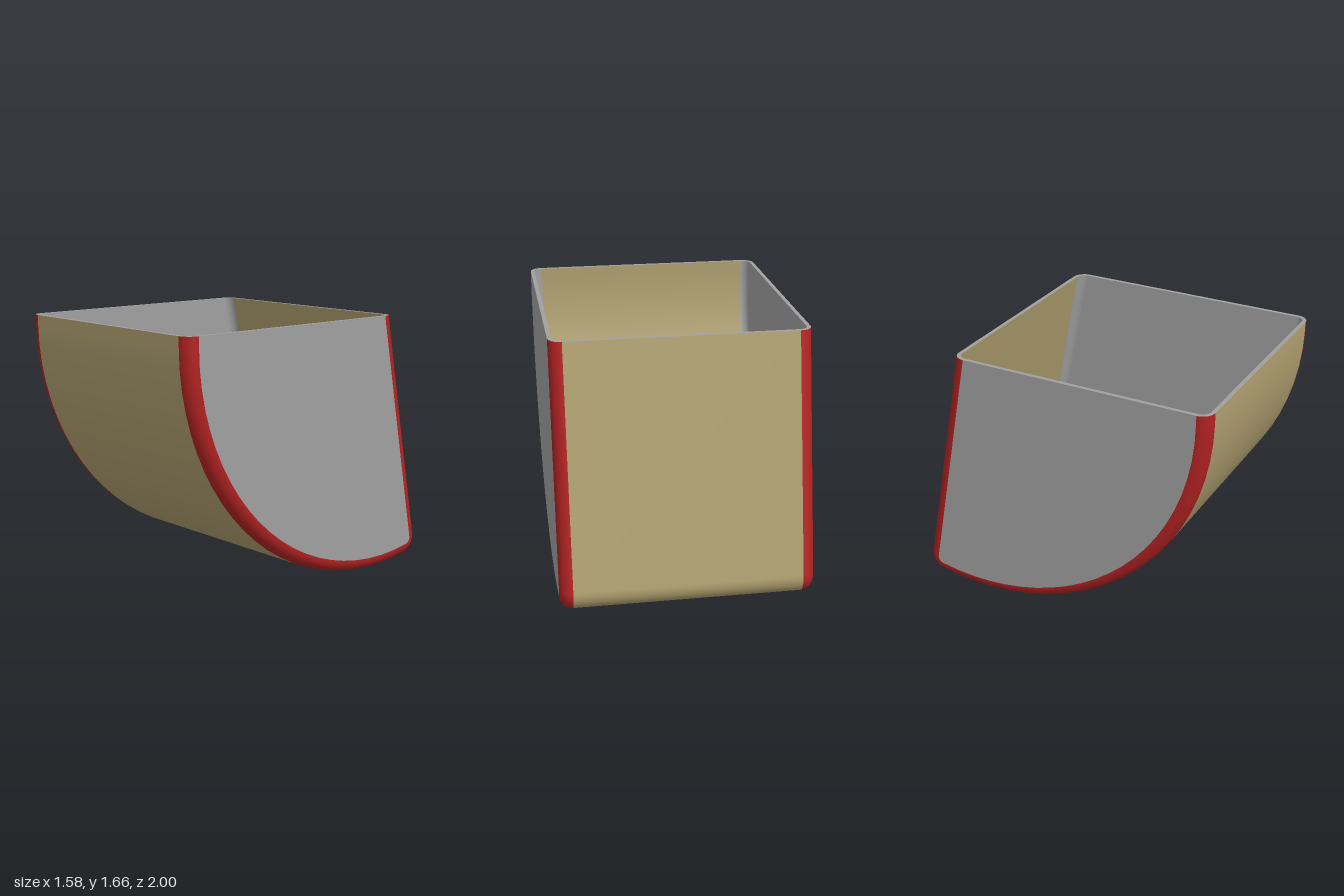
import * as THREE from 'three';

const TOP = 1.66, HALF = 0.71, EDGE = 0.08, INNER = 0.055;

const mat = (name, color) => {
  const m = new THREE.MeshStandardMaterial({ color });
  m.name = name;
  return m;
};

// Side profile as points with outward normals: front lip, big arc, heel, back wall
function makeProfile() {
  const pts = [{ z: 1, y: TOP, nz: 1, ny: 0 }];
  const arc = (cz, cy, r, a0, a1, n, first) => {
    for (let i = first; i <= n; i++) {
      const a = a0 + (a1 - a0) * i / n, nz = Math.cos(a), ny = Math.sin(a);
      pts.push({ z: cz + r * nz, y: cy + r * ny, nz, ny });
    }
  };
  arc(-0.6, 1.6, 1.6, 0, -1.76, 22, 0);
  arc(-0.878, 0.147, 0.12, -1.76, -3.338, 8, 1);
  const { nz, ny } = pts[pts.length - 1];
  pts.push({ z: -0.7, y: TOP, nz, ny });
  return pts;
}
const profile = makeProfile();

// Profile point moved inward by d; both ends stay level with the rim
function inset(i, d) {
  const p = profile[i];
  let z = p.z - d * p.nz, y = p.y - d * p.ny;
  if (i === 0 || i === profile.length - 1) {
    z += (TOP - y) * p.ny / -p.nz;
    y = TOP;
  }
  return [z, y];
}

// Point on the shell: side s, corner angle a, corner radius r
function shellPoint(i, s, a, r) {
  const [z, y] = inset(i, EDGE - r * Math.cos(a));
  return [s * (HALF + r * Math.sin(a)), y, z];
}

// Surface from rows of points, with optional normals
function grid(rows, normals, flip) {
  const w = rows[0].length, idx = [];
  for (let i = 0; i < rows.length - 1; i++) for (let j = 0; j < w - 1; j++) {
    const a = i * w + j, b = a + 1, c = a + w, d = c + 1;
    idx.push(...(flip ? [a, b, c, b, d, c] : [a, c, b, b, c, d]));
  }
  const g = new THREE.BufferGeometry();
  g.setAttribute('position', new THREE.Float32BufferAttribute(rows.flat(2), 3));
  g.setIndex(idx);
  if (normals) g.setAttribute('normal', new THREE.Float32BufferAttribute(normals.flat(2), 3));
  else g.computeVertexNormals();
  return g;
}

// Strip swept along the profile; each column is [side, corner angle]
function sweep(cols, r, inside) {
  const k = inside ? -1 : 1;
  const rows = profile.map((_, i) => cols.map(([s, a]) => shellPoint(i, s, a, r)));
  const normals = profile.map(p => cols.map(([s, a]) =>
    [k * s * Math.sin(a), k * p.ny * Math.cos(a), k * p.nz * Math.cos(a)]));
  return grid(rows, normals, inside);
}

// Flat side wall at x, facing +x or -x
function sideWall(x, facing) {
  const pts = profile.map((_, i) => {
    const [z, y] = inset(i, EDGE);
    return new THREE.Vector2(-facing * z, y);
  });
  return new THREE.ShapeGeometry(new THREE.Shape(pts))
    .rotateY(facing * Math.PI / 2).translate(x, 0, 0);
}

// Quarter-round columns ordered from -x to +x
const STEPS = 8;
const corner = s => Array.from({ length: STEPS + 1 }, (_, j) =>
  [s, (s > 0 ? j : STEPS - j) / STEPS * Math.PI / 2]);

export function createModel() {
  const group = new THREE.Group();
  const tan = mat('tan', 0xb0a070), red = mat('red', 0xb22222), grey = mat('grey', 0xa0a0a0);
  const add = (name, geometry, material) => {
    const m = new THREE.Mesh(geometry, material);
    m.name = name;
    group.add(m);
  };

  // Curved front, floor and back in one sheet, outside and inside
  const flat = [[-1, 0], [1, 0]];
  add('outerSheet', sweep(flat, EDGE, false), tan);
  add('innerSheet', sweep(flat, INNER, true), tan);

  // Rounded edges and side walls
  for (const s of [1, -1]) {
    const side = s > 0 ? 'left' : 'right';
    add(side + 'OuterEdge', sweep(corner(s), EDGE, false), red);
    add(side + 'InnerEdge', sweep(corner(s), INNER, true), grey);
    add(side + 'OuterWall', sideWall(s * (HALF + EDGE), s), grey);
    add(side + 'InnerWall', sideWall(s * (HALF + INNER), -s), grey);
  }

  // Level rim around the opening
  const cols = [...corner(-1), ...corner(1)], last = profile.length - 1;
  const loop = r => {
    const front = cols.map(([s, a]) => shellPoint(0, s, a, r));
    const back = cols.map(([s, a]) => shellPoint(last, s, a, r)).reverse();
    return [...front, ...back, front[0]];
  };
  add('rim', grid([loop(INNER), loop(EDGE)]), grey);

  return group;
}
